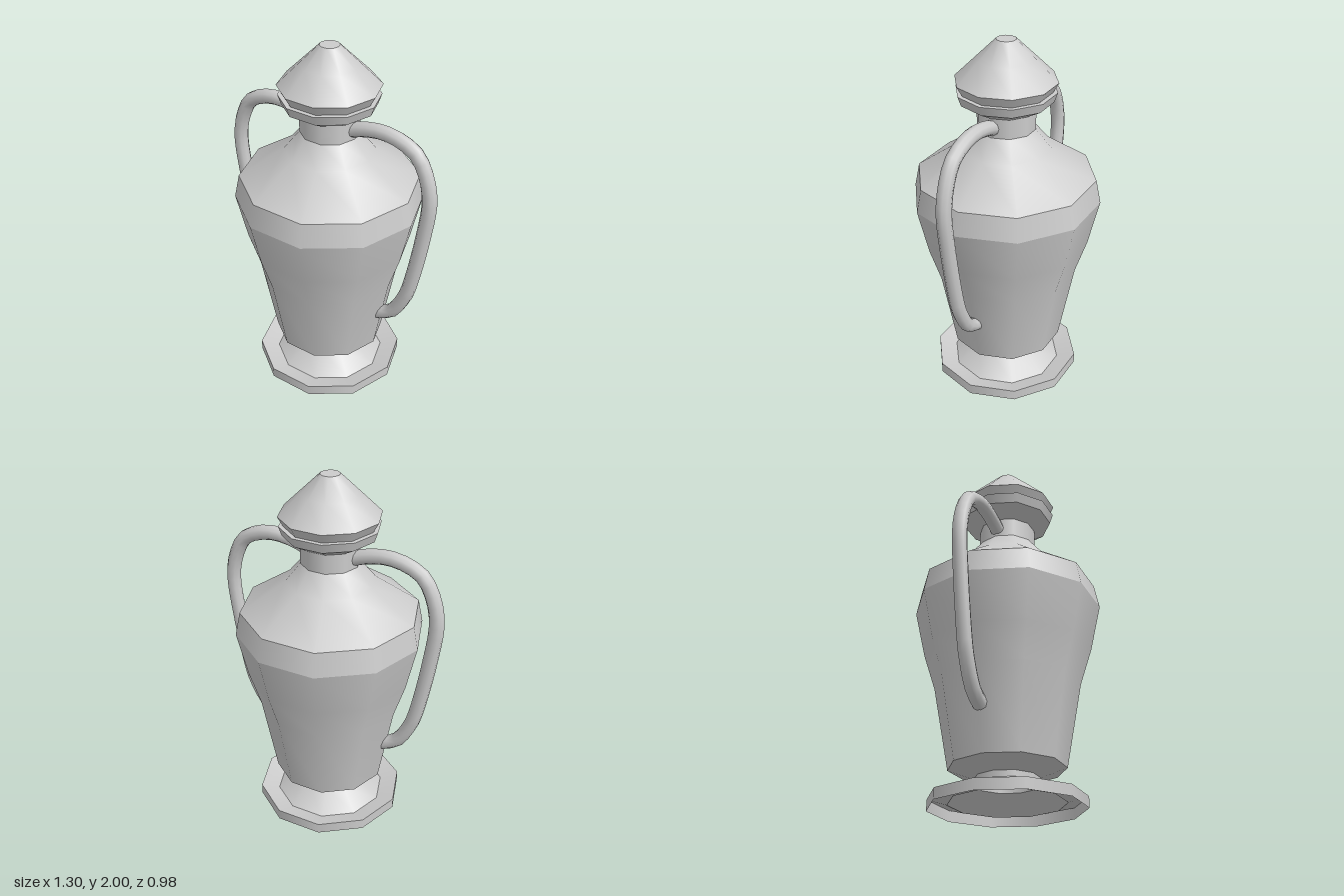
import * as THREE from 'three';

const SIDES = 10;
const material = new THREE.MeshStandardMaterial({ color: 0xcccccc, side: THREE.DoubleSide });

// Each band is its own ten-sided lathe: smooth around, sharp between bands.
function turnedPart(name, bands) {
  const part = new THREE.Group();
  part.name = name;
  bands.forEach((band, i) => {
    const points = band.map(([r, y]) => new THREE.Vector2(r, y));
    const mesh = new THREE.Mesh(new THREE.LatheGeometry(points, SIDES, Math.PI / 2), material);
    mesh.name = `${name}Band${i + 1}`;
    part.add(mesh);
  });
  return part;
}

// Bent tube handle; side is +1 for left, -1 for right.
function handle(name, side) {
  const path = [
    [0.13, 1.565], [0.2, 1.59], [0.31, 1.61], [0.41, 1.6], [0.518, 1.55], [0.577, 1.455],
    [0.61, 1.31], [0.587, 1.063], [0.53, 0.74], [0.505, 0.65], [0.42, 0.5], [0.33, 0.452],
  ].map(([x, y]) => new THREE.Vector3(x * side, y, 0));
  const curve = new THREE.CatmullRomCurve3(path, false, 'centripetal');
  const mesh = new THREE.Mesh(new THREE.TubeGeometry(curve, 28, 0.04, 10), material);
  mesh.name = name;
  return mesh;
}

export function createModel() {
  const model = new THREE.Group();
  model.name = 'urn';

  // Hollow foot, open underneath, with a recessed step and a short stem
  model.add(turnedPart('foot', [
    [[0.415, 0], [0.415, 0.06]],
    [[0.415, 0.06], [0.31, 0.03]],
    [[0.31, 0.03], [0.174, 0.127]],
    [[0.174, 0.127], [0.174, 0.16]],
    [[0, 0.16], [0.174, 0.16]],
  ]));

  // Tapering body and sloping shoulder
  model.add(turnedPart('body', [
    [[0.174, 0.16], [0.312, 0.21]],
    [[0.312, 0.21], [0.395, 0.665], [0.457, 0.86], [0.515, 1.12]],
    [[0.515, 1.12], [0.488, 1.25]],
    [[0.488, 1.25], [0.245, 1.415], [0.158, 1.52]],
  ]));

  // Neck and flared mouth
  model.add(turnedPart('neck', [
    [[0.158, 1.52], [0.158, 1.627]],
    [[0.158, 1.627], [0.25, 1.68]],
    [[0.25, 1.68], [0.268, 1.732]],
    [[0.268, 1.732], [0.243, 1.732]],
  ]));

  // Conical lid with a flat tip
  model.add(turnedPart('lid', [
    [[0.243, 1.732], [0.272, 1.785]],
    [[0.272, 1.785], [0.155, 1.9], [0.053, 2]],
    [[0.053, 2], [0, 2]],
  ]));

  model.add(handle('leftHandle', 1), handle('rightHandle', -1));
  return model;
}
